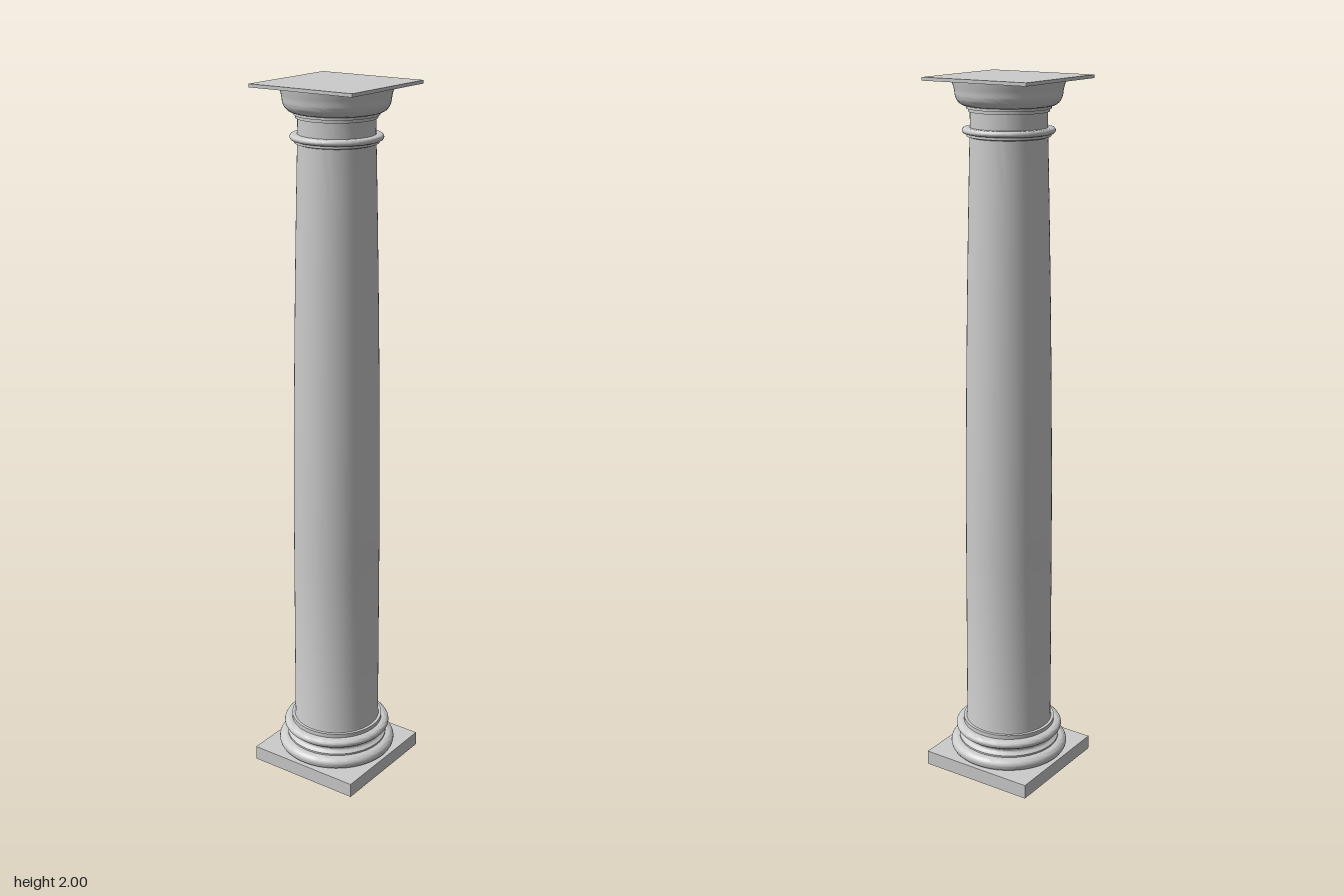
import * as THREE from 'three';
import { toCreasedNormals } from 'three/addons/utils/BufferGeometryUtils.js';

const material = new THREE.MeshStandardMaterial({ color: 0xcccccc });

// Half-round moulding: bulges outward from radius r between y0 and y1
function roll(r, y0, y1, bulge, steps = 10) {
  const points = [];
  for (let i = 0; i <= steps; i++) {
    const a = -Math.PI / 2 + (Math.PI * i) / steps;
    points.push([r + bulge * Math.cos(a), (y0 + y1) / 2 + ((y1 - y0) / 2) * Math.sin(a)]);
  }
  return points;
}

// Hollow moulding between two radii
function hollow(r0, y0, r1, y1, depth, steps = 8) {
  const points = [];
  for (let i = 0; i <= steps; i++) {
    const t = i / steps;
    points.push([r0 + (r1 - r0) * t - depth * Math.sin(Math.PI * t), y0 + (y1 - y0) * t]);
  }
  return points;
}

function turned(name, profile) {
  const points = profile.map(([r, y]) => new THREE.Vector2(r, y));
  const mesh = new THREE.Mesh(toCreasedNormals(new THREE.LatheGeometry(points, 64), 0.6), material);
  mesh.name = name;
  return mesh;
}

function slab(name, width, y0, y1) {
  const mesh = new THREE.Mesh(new THREE.BoxGeometry(width, y1 - y0, width), material);
  mesh.position.y = (y0 + y1) / 2;
  mesh.name = name;
  return mesh;
}

export function createModel() {
  const column = new THREE.Group();
  column.name = 'column';

  // Square plinth
  column.add(slab('plinth', 0.348, 0, 0.042));

  // Base: large roll, hollow, smaller roll and fillet
  column.add(turned('base', [
    ...roll(0.152, 0.042, 0.078, 0.02),
    [0.147, 0.078], [0.147, 0.083],
    ...hollow(0.147, 0.083, 0.141, 0.102, 0.009),
    [0.141, 0.105],
    ...roll(0.142, 0.105, 0.13, 0.014),
    [0.134, 0.13], [0.134, 0.142], [0.122, 0.142],
  ]));

  // Shaft: straight lower part, swelling gently inward towards the top
  const shaft = [[0.126, 0.14], [0.124, 0.15]];
  for (let i = 0; i <= 16; i++) {
    const t = i / 16;
    shaft.push([0.123 - 0.019 * Math.pow(t, 1.7), 0.65 + 1.2 * t]);
  }
  column.add(turned('shaft', shaft));

  // Ring below the neck
  column.add(turned('neckRing', [
    [0.1, 1.842], [0.112, 1.846], [0.112, 1.853],
    ...roll(0.116, 1.853, 1.869, 0.008),
    [0.104, 1.869],
  ]));

  // Capital: neck, fillets, rounded echinus and upper lip
  const echinus = [];
  for (let i = 0; i <= 10; i++) {
    const a = (Math.PI / 2) * (i / 10);
    echinus.push([0.113 + 0.03 * Math.sin(a), 1.961 - 0.036 * Math.cos(a)]);
  }
  column.add(turned('capital', [
    [0.103, 1.865], [0.103, 1.91], [0.108, 1.91], [0.108, 1.918],
    [0.113, 1.918], [0.113, 1.925],
    ...echinus,
    [0.145, 1.972], [0.149, 1.985], [0.15, 1.993], [0, 1.993],
  ]));

  // Thin square top plate
  column.add(slab('abacus', 0.324, 1.991, 2));

  return column;
}
